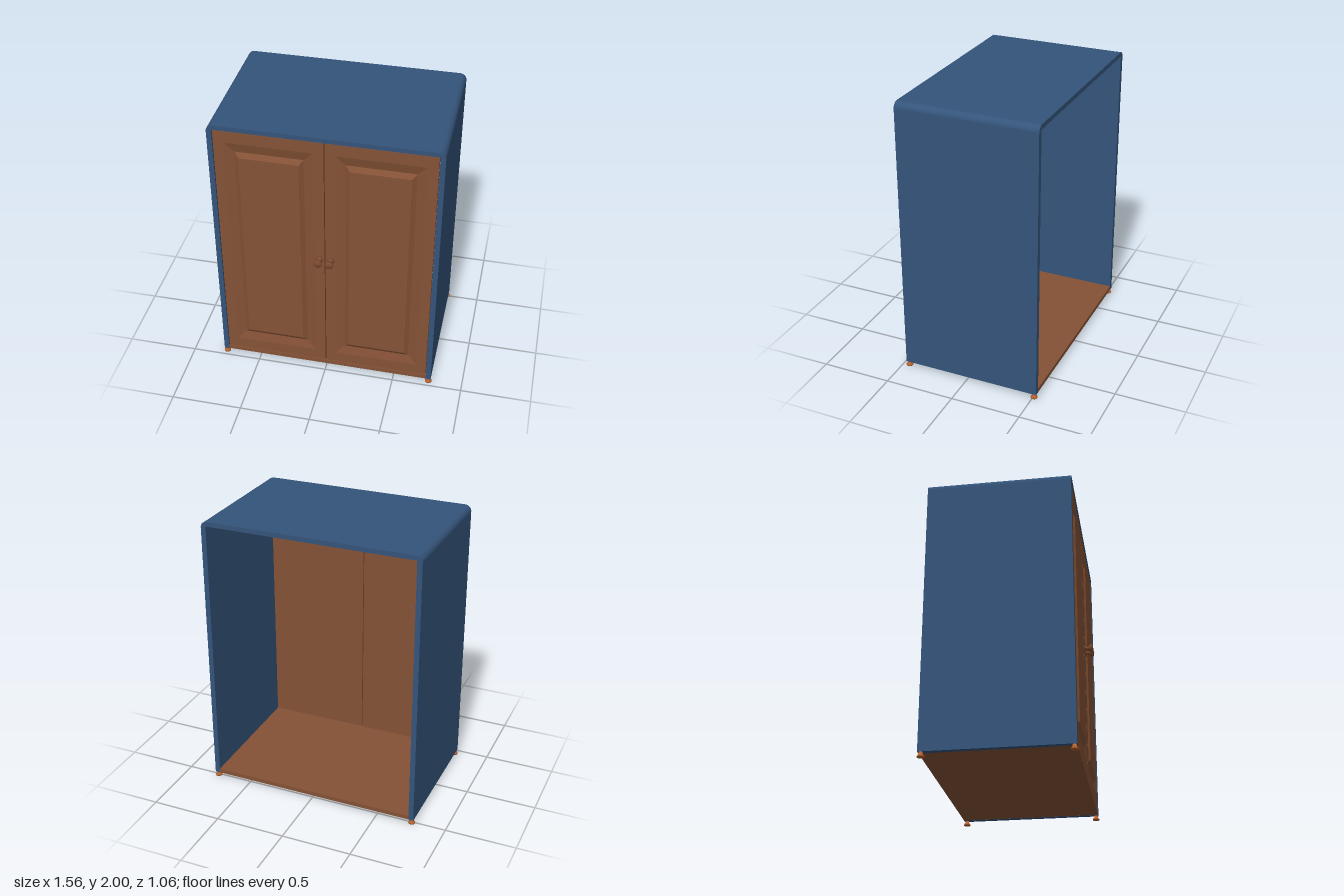
import * as THREE from 'three';

const paint = (color, flatShading = false) => new THREE.MeshStandardMaterial({ color, flatShading });
const blue = paint(0x34547a);
const wood = paint(0x855236, true);
const knobWood = paint(0x7a4a30);
const copper = paint(0xb5622f);

function add(parent, name, geometry, material, x = 0, y = 0, z = 0) {
  const mesh = new THREE.Mesh(geometry, material);
  mesh.name = name;
  mesh.position.set(x, y, z);
  parent.add(mesh);
  return mesh;
}

// Closed solid lofted through rectangles given as [half width, half height, z], back to front
function loftRectangles(rings) {
  const positions = [];
  const index = [];
  for (const [w, h, z] of rings) positions.push(-w, -h, z, w, -h, z, w, h, z, -w, h, z);
  for (let r = 0; r < rings.length - 1; r++) {
    for (let k = 0; k < 4; k++) {
      const a = r * 4 + k, b = r * 4 + (k + 1) % 4;
      index.push(a, b, b + 4, a, b + 4, a + 4);
    }
  }
  const last = (rings.length - 1) * 4;
  index.push(0, 2, 1, 0, 3, 2, last, last + 1, last + 2, last, last + 2, last + 3);
  const geometry = new THREE.BufferGeometry();
  geometry.setAttribute('position', new THREE.Float32BufferAttribute(positions, 3));
  geometry.setIndex(index);
  const flat = geometry.toNonIndexed();
  flat.computeVertexNormals();
  return flat;
}

const lathe = (points, segments = 24) =>
  new THREE.LatheGeometry(points.map(([r, y]) => new THREE.Vector2(r, y)), segments);

export function createModel() {
  const model = new THREE.Group();
  model.name = 'cabinet';

  // Sides and top: one arch with rounded outer corners, open at front, back and bottom
  const W = 0.775, inner = 0.739, bottom = 0.033, top = 2, R = 0.045;
  const arch = new THREE.Shape();
  arch.moveTo(-W, bottom);
  arch.lineTo(-inner, bottom);
  arch.lineTo(-inner, 1.967);
  arch.lineTo(inner, 1.967);
  arch.lineTo(inner, bottom);
  arch.lineTo(W, bottom);
  arch.lineTo(W, top - R);
  arch.absarc(W - R, top - R, R, 0, Math.PI / 2, false);
  arch.lineTo(-W + R, top);
  arch.absarc(-W + R, top - R, R, Math.PI / 2, Math.PI, false);
  arch.lineTo(-W, bottom);
  const shell = new THREE.ExtrudeGeometry(arch, { depth: 0.998, bevelEnabled: false, curveSegments: 10 });
  add(model, 'shell', shell, blue, 0, 0, -0.528);

  // Floor board
  add(model, 'floor', new THREE.BoxGeometry(inner * 2, 0.031, 0.996), wood, 0, 0.0495, -0.03);

  // Doors with a sunken bevel around a raised panel
  const halfW = 0.366, halfH = 0.946, face = 0.466;
  const door = loftRectangles([
    [halfW, halfH, face - 0.03],
    [halfW, halfH, face],
    [halfW - 0.07, halfH - 0.085, face],
    [halfW - 0.135, halfH - 0.155, face - 0.016],
    [halfW - 0.165, halfH - 0.19, face + 0.006],
  ]);

  // Knob: flared base, thin neck and mushroom head
  const knob = lathe([
    [0, 0], [0.026, 0], [0.026, 0.006], [0.014, 0.011], [0.01, 0.018], [0.01, 0.025],
    [0.016, 0.033], [0.026, 0.042], [0.03, 0.05], [0.028, 0.056], [0.02, 0.061], [0.01, 0.064], [0, 0.065],
  ]);

  // Foot: round pad tapering to a short stem
  const foot = lathe([
    [0, 0], [0.024, 0], [0.024, 0.007], [0.021, 0.011], [0.013, 0.021], [0.013, 0.034], [0, 0.034],
  ]);

  for (const [side, s] of [['left', 1], ['right', -1]]) {
    add(model, side + 'Door', door, wood, s * 0.369, 1.016, 0);
    add(model, side + 'Knob', knob, knobWood, s * 0.039, 1.015, face).rotation.x = Math.PI / 2;
    add(model, side + 'FrontFoot', foot, copper, s * 0.758, 0, 0.453);
    add(model, side + 'BackFoot', foot, copper, s * 0.758, 0, -0.508);
  }
  return model;
}
